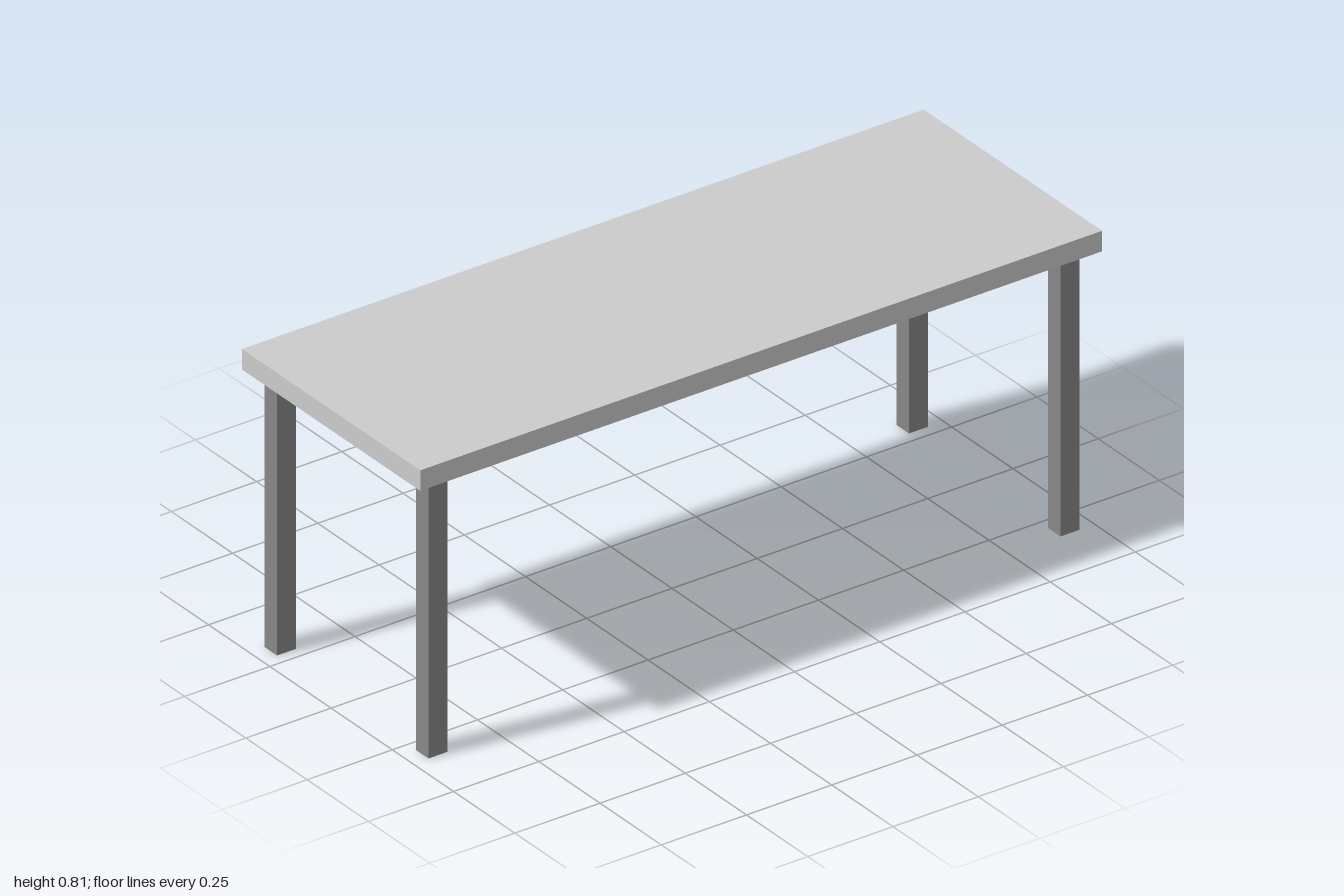
import * as THREE from 'three';

const HEIGHT = 0.815, TOP_THICKNESS = 0.056, LEG_HEIGHT = HEIGHT - TOP_THICKNESS;

export function createModel() {
  const table = new THREE.Group();
  table.name = 'table';

  const topMaterial = new THREE.MeshStandardMaterial({ color: 0xcccccc });
  const legMaterial = new THREE.MeshStandardMaterial({ color: 0x888888 });

  // Flat rectangular slab
  const top = new THREE.Mesh(new THREE.BoxGeometry(2, TOP_THICKNESS, 0.728), topMaterial);
  top.name = 'tableTop';
  top.position.y = LEG_HEIGHT + TOP_THICKNESS / 2;
  table.add(top);

  // Four straight legs, set in slightly from the corners
  const legGeometry = new THREE.BoxGeometry(0.056, LEG_HEIGHT, 0.051);
  for (const [depth, z] of [['front', 0.309], ['back', -0.309]]) {
    for (const [side, x] of [['Left', 0.927], ['Right', -0.927]]) {
      const leg = new THREE.Mesh(legGeometry, legMaterial);
      leg.name = `${depth}${side}Leg`;
      leg.position.set(x, LEG_HEIGHT / 2, z);
      table.add(leg);
    }
  }
  return table;
}
